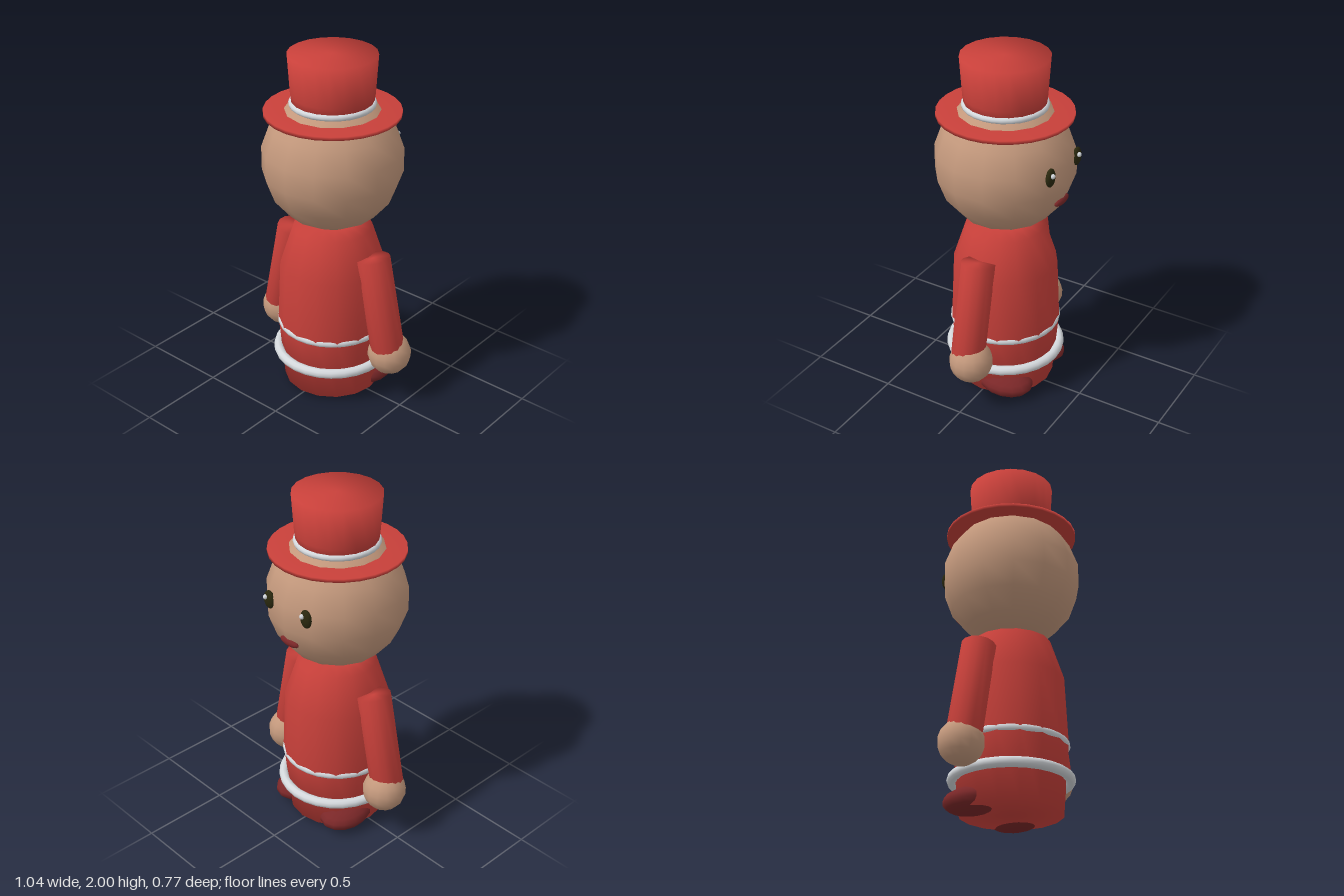
import * as THREE from 'three';

const mat = (name, color) => {
  const m = new THREE.MeshStandardMaterial({ color });
  m.name = name;
  return m;
};

export function createModel() {
  const red = mat('coat red', 0xc8403a);
  const skin = mat('skin', 0xc3987c);
  const white = mat('trim white', 0xd4d8dc);
  const darkRed = mat('dark red', 0x7a2728);
  const dark = mat('eye dark', 0x2a280f);

  const group = new THREE.Group();
  const add = (name, geometry, material, x = 0, y = 0, z = 0) => {
    const mesh = new THREE.Mesh(geometry, material);
    mesh.name = name;
    mesh.position.set(x, y, z);
    group.add(mesh);
    return mesh;
  };
  // Closed turned solid, profile listed from bottom to top
  const turned = (points, sides) =>
    new THREE.LatheGeometry(points.map(([r, y]) => new THREE.Vector2(r, y)), sides);
  // Coarse ball with corners on the z axis, stretched to its half sizes
  const ball = (rx, ry = rx, rz = rx, sides = 14, rings = 9) =>
    new THREE.SphereGeometry(1, sides, rings).rotateY(Math.PI / 2).scale(rx, ry, rz);
  const ring = (name, radius, tube, y) =>
    add(name, new THREE.TorusGeometry(radius, tube, 10, 28).rotateX(Math.PI / 2), white, 0, y);

  // Coat body and its trims
  add('body', turned([[0, 0.025], [0.28, 0.025], [0.312, 0.41], [0.295, 0.77],
    [0.22, 1.0], [0.137, 1.03], [0, 1.03]], 16), red);
  ring('belt', 0.293, 0.023, 0.4);
  ring('hemTrim', 0.314, 0.028, 0.21);

  // Head
  add('head', ball(0.39), skin, 0, 1.4, 0);

  // Hat
  add('hatBrim', turned([[0.2, 1.67], [0.37, 1.67], [0.37, 1.69], [0.2, 1.69]], 28), red);
  add('hatCrown', turned([[0, 1.7], [0.215, 1.7], [0.226, 1.78], [0.24, 2.0], [0, 2.0]], 20), red);
  ring('hatBand', 0.216, 0.018, 1.728);

  // Mouth
  add('mouth', ball(0.07, 0.024, 0.02), darkRed, 0, 1.245, -0.348);

  for (const s of [-1, 1]) {
    const side = s > 0 ? 'left' : 'right';

    // Sleeve leaning outward, and hand
    const length = 0.545;
    const arm = add(side + 'Arm', turned([[0, -length], [0.095, -length], [0.095, 0], [0, 0]], 14),
      red, s * 0.288, 0.89, 0);
    arm.rotation.z = s * 0.21;
    add(side + 'Hand', ball(0.123), skin, s * 0.402, 0.313, -0.018);

    // Shoe
    add(side + 'Shoe', ball(0.125, 0.072, 0.167), darkRed, s * 0.19, 0.075, -0.115);

    // Eye with its glint
    add(side + 'Eye', ball(0.038, 0.053, 0.021), dark, s * 0.142, 1.447, -0.356);
    add(side + 'EyeGlint', ball(0.014, 0.014, 0.014, 10, 6), white, s * 0.142 + 0.01, 1.465, -0.375);
  }

  return group;
}
